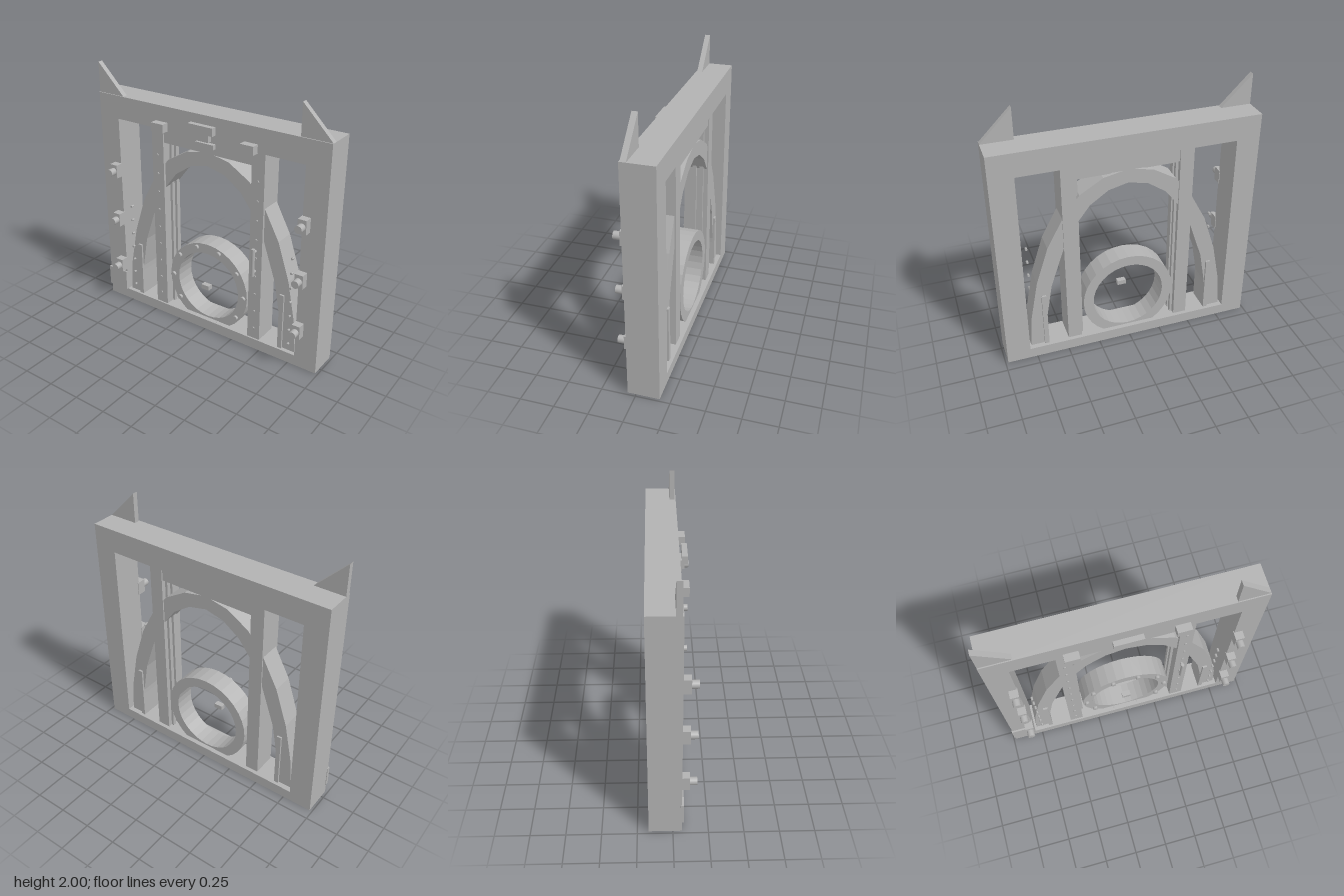
import * as THREE from 'three';

export function createModel() {
  const model = new THREE.Group();
  const grey = new THREE.MeshStandardMaterial({ color: 0xb2b2b2 });
  grey.name = 'plainGrey';

  const add = (name, geometry) => {
    const mesh = new THREE.Mesh(geometry, grey);
    mesh.name = name;
    model.add(mesh);
    return mesh;
  };
  // box given by its limits on each axis
  const box = (name, x0, x1, y0, y1, z0, z1) =>
    add(name, new THREE.BoxGeometry(x1 - x0, y1 - y0, z1 - z0))
      .position.set((x0 + x1) / 2, (y0 + y1) / 2, (z0 + z1) / 2);
  // the same box on both sides of x = 0
  const pair = (name, x0, x1, ...rest) => {
    box(name + 'Left', x0, x1, ...rest);
    box(name + 'Right', -x1, -x0, ...rest);
  };
  // cylinder pointing forward
  const stud = (name, x, y, z0, z1, r, sides = 16) => {
    const g = new THREE.CylinderGeometry(r, r, z1 - z0, sides).rotateX(Math.PI / 2);
    add(name, g).position.set(x, y, (z0 + z1) / 2);
  };
  // flat outline extruded between two depths
  const slab = (name, shape, z0, z1, curveSegments = 12) => {
    const g = new THREE.ExtrudeGeometry(shape, { depth: z1 - z0, bevelEnabled: false, curveSegments });
    add(name, g).position.z = z0;
  };
  const outline = (pts) => new THREE.Shape(pts.map(([x, y]) => new THREE.Vector2(x, y)));

  // outer frame
  pair('framePost', 0.802, 0.98, 0, 1.77, -0.17, 0.063);
  box('sill', -0.802, 0.802, 0, 0.084, -0.17, 0.063);
  box('topBeam', -0.802, 0.802, 1.59, 1.77, -0.17, 0.063);

  // triangular fins on the posts
  for (const x of [-0.98, 0.75])
    slab('fin', outline([[x, 1.77], [x + 0.23, 1.77], [x, 2]]), 0.015, 0.055);

  // inner posts, lintel and guide rails
  pair('innerPost', 0.385, 0.49, 0.084, 1.59, -0.14, 0.05);
  box('lintel', -0.385, 0.385, 1.48, 1.59, -0.13, 0.04);
  for (const z of [-0.05, -0.105]) {
    pair('guideRail', 0.365, 0.385, 0.084, 1.48, z, z + 0.028);
    box('headRail', -0.365, 0.365, 1.46, 1.48, z, z + 0.028);
  }

  // faceted arch: right half profiles mirrored into one closed band
  const outer = [[0.785, 0.084], [0.766, 0.345], [0.705, 0.66], [0.61, 0.95],
    [0.49, 1.175], [0.36, 1.345], [0.185, 1.45], [0, 1.488]];
  const inner = [[0.655, 0.084], [0.643, 0.345], [0.597, 0.61], [0.49, 0.925],
    [0.385, 1.12], [0.285, 1.25], [0.148, 1.345], [0, 1.38]];
  const span = (half) => [...half, ...half.slice(0, -1).reverse().map(([x, y]) => [-x, y])];
  slab('arch', outline([...span(outer), ...span(inner).reverse()]), -0.13, 0.03);
  pair('archFootPlate', 0.645, 0.68, 0.084, 0.54, -0.145, 0.045);

  // round port with bolts
  const ring = new THREE.Shape().absarc(0, 0.378, 0.359, 0, Math.PI * 2);
  ring.holes.push(new THREE.Path().absarc(0, 0.378, 0.28, 0, Math.PI * 2, true));
  slab('portRing', ring, -0.135, 0.025, 16);
  for (let i = 0; i < 10; i++) {
    const a = (i * Math.PI) / 5;
    stud('portBolt', 0.327 * Math.cos(a), 0.378 + 0.327 * Math.sin(a), 0.02, 0.045, 0.019);
  }
  box('portCentreBlock', -0.034, 0.034, 0.362, 0.398, 0.02, 0.062);

  for (const s of [-1, 1]) {
    // rivet rows
    for (let i = 0; i < 9; i++) stud('postRivet', s * 0.44, 0.175 + i * 0.15, 0.045, 0.058, 0.01, 8);
    for (let i = 0; i < 7; i++) stud('archRivet', s * 0.732, 0.145 + i * 0.12, 0.025, 0.05, 0.009, 8);
    // clamps with round heads
    for (const y of [0.333, 0.752, 1.172]) stud('clampHead', s * 0.829, y, 0.12, 0.173, 0.029);
  }
  for (const y of [0.333, 0.752, 1.172])
    pair('clampBlock', 0.797, 0.863, y - 0.054, y + 0.054, 0.05, 0.122);

  // latch at top centre and stop blocks
  pair('stopBlock', 0.33, 0.436, 1.585, 1.65, 0.04, 0.12);
  box('latchHead', -0.105, 0.105, 1.65, 1.71, 0.083, 0.122);
  box('latchStem', -0.054, 0.054, 1.588, 1.655, 0.05, 0.1);
  box('latchPlate', -0.077, 0.077, 1.53, 1.566, 0.035, 0.072);

  // pull handle on the inner post
  stud('handleFoot', 0.437, 0.67, 0.045, 0.08, 0.011, 10);
  stud('handleFoot', 0.437, 0.835, 0.045, 0.08, 0.011, 10);
  add('handleBar', new THREE.CylinderGeometry(0.013, 0.013, 0.22, 12)).position.set(0.437, 0.753, 0.082);

  // plate at the foot of one post
  box('footPlate', -0.985, -0.802, 0.086, 0.252, 0.05, 0.077);

  return model;
}
